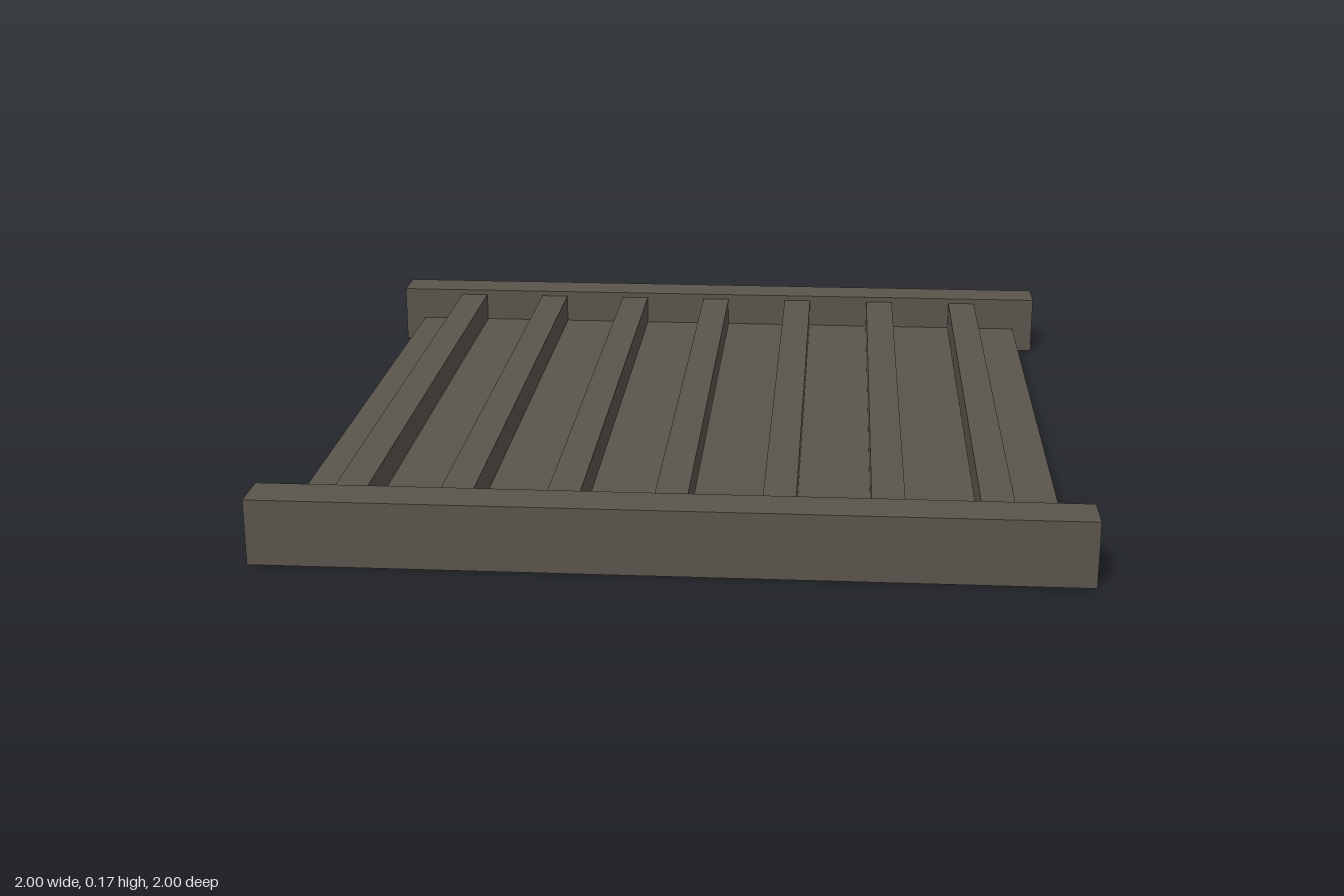
import * as THREE from 'three';

export function createModel() {
  const model = new THREE.Group();
  const darkMetal = new THREE.MeshStandardMaterial({ color: 0x5a554d });
  darkMetal.name = 'darkMetal';

  // Box placed by its centre in x and z and its bottom in y
  function addBox(name, width, height, depth, x, bottom, z) {
    const mesh = new THREE.Mesh(new THREE.BoxGeometry(width, height, depth), darkMetal);
    mesh.name = name;
    mesh.position.set(x, bottom + height / 2, z);
    model.add(mesh);
  }

  const railDepth = 0.115;
  const innerDepth = 2 - 2 * railDepth;
  const baseHeight = 0.07;

  // Solid base plate between the rails
  addBox('basePlate', 1.88, baseHeight, innerDepth, 0, 0, 0);

  // Raised rails across the front and back
  addBox('frontRail', 2, 0.165, railDepth, 0, 0, 1 - railDepth / 2);
  addBox('backRail', 2, 0.165, railDepth, 0, 0, -1 + railDepth / 2);

  // Seven evenly spaced slats running from rail to rail
  for (let i = -3; i <= 3; i++) {
    addBox(`slat${i + 4}`, 0.08, 0.15 - baseHeight, innerDepth, i * 0.2585, baseHeight, 0);
  }

  return model;
}
